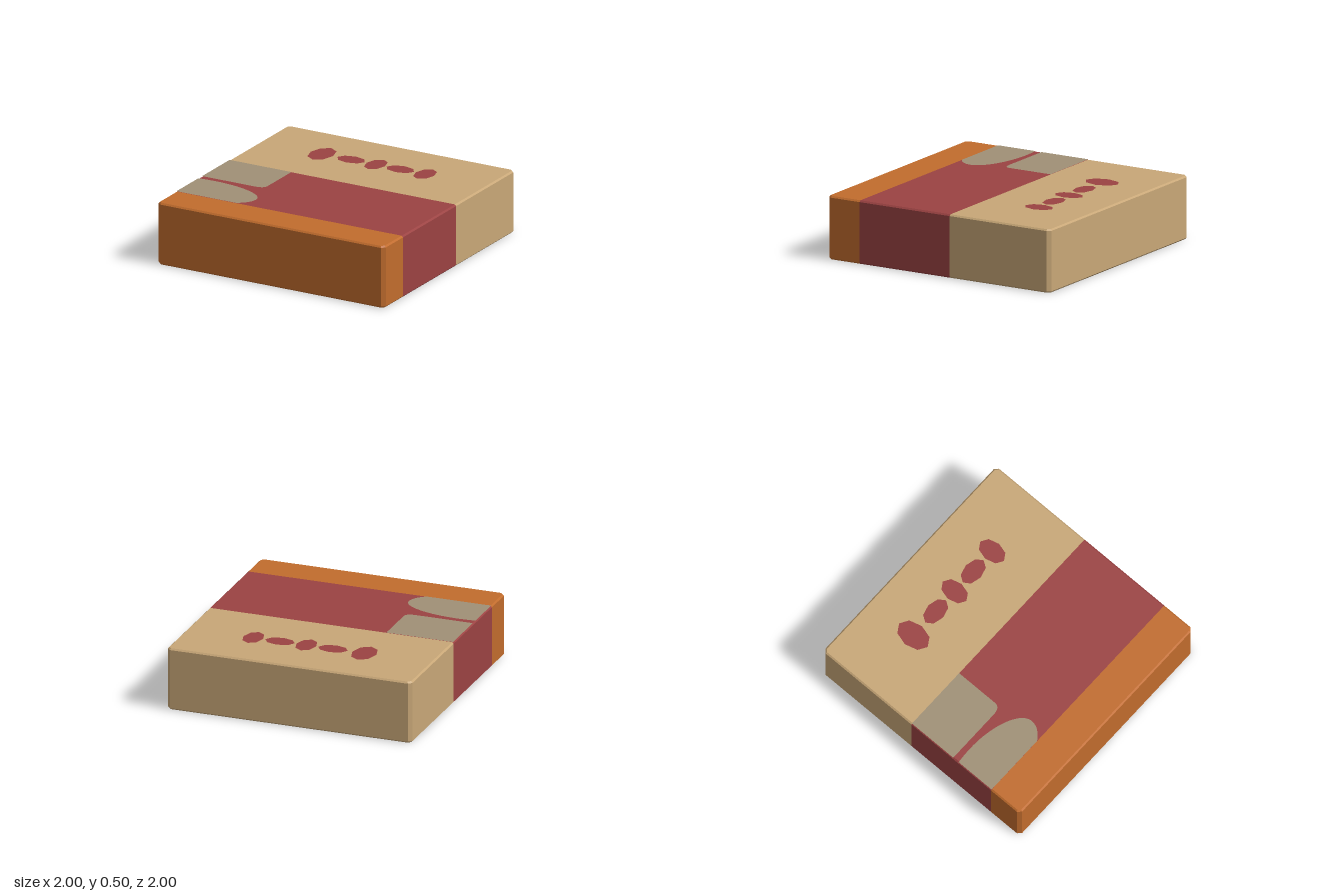
import * as THREE from 'three';

const H = 0.5, BEVEL = 0.012;
const TOP = H + 0.002;

const mat = (name, color) => new THREE.MeshStandardMaterial({ name, color });

// One chamfered cross-section; the top and bottom corners are inset from the sides
function ring(zSide, wSide, zFlat, wFlat) {
  const half = [[wFlat, H, zFlat], [wSide, H - BEVEL, zSide], [wSide, BEVEL, zSide], [wFlat, 0, zFlat]];
  return [...half, ...half.slice().reverse().map(([x, y, z]) => [-x, y, z])];
}
const straight = (z) => ring(z, 1, z, 1 - BEVEL);
const shoulder = (s) => ring(0.972 * s, 1, 0.967 * s, 1 - BEVEL);
const end = (s) => ring(s, 0.972, s * (1 - BEVEL), 0.967);

// Skins neighbouring sections and optionally closes one end
function band(name, material, rings, capRing, capSign) {
  const pos = [];
  const quad = (a, b, c, d) => [a, b, c, a, c, d].forEach((p) => pos.push(...p));
  for (let r = 0; r < rings.length - 1; r++) {
    for (let i = 0; i < 8; i++) {
      const j = (i + 1) % 8;
      quad(rings[r][i], rings[r + 1][i], rings[r + 1][j], rings[r][j]);
    }
  }
  if (capRing) {
    for (const ids of [[1, 2, 5, 6], [0, 1, 6, 7], [2, 3, 4, 5]]) {
      const q = ids.map((i) => capRing[i]);
      if (capSign > 0) q.reverse();
      quad(...q);
    }
  }
  const geo = new THREE.BufferGeometry();
  geo.setAttribute('position', new THREE.Float32BufferAttribute(pos, 3));
  geo.computeVertexNormals();
  const mesh = new THREE.Mesh(geo, material);
  mesh.name = name;
  return mesh;
}

// Flat inlay on the lid; shapes are drawn in (x, -z)
function inlay(name, material, shape) {
  const geo = new THREE.ShapeGeometry(shape, 24);
  geo.rotateX(-Math.PI / 2);
  geo.translate(0, TOP, 0);
  const mesh = new THREE.Mesh(geo, material);
  mesh.name = name;
  return mesh;
}

export function createModel() {
  const group = new THREE.Group();
  group.name = 'box';
  const tan = mat('tan', 0xc8a777);
  const red = mat('dark red', 0x9b4242);
  const orange = mat('burnt orange', 0xc16c2d);
  const grey = mat('warm grey', 0xa09076);

  // Body in three colour bands
  const back = end(-1), front = end(1);
  group.add(
    band('backBand', tan, [back, shoulder(-1), straight(-0.1)], back, -1),
    band('middleBand', red, [straight(-0.1), straight(0.71)]),
    band('frontBand', orange, [straight(0.71), shoulder(1), front], front, 1),
  );

  // Grey patch with one rounded corner
  const patch = new THREE.Shape();
  patch.moveTo(-0.995, 0.1);
  patch.lineTo(-0.45, 0.1);
  patch.lineTo(-0.45, -0.27);
  patch.quadraticCurveTo(-0.455, -0.32, -0.53, -0.32);
  patch.lineTo(-0.995, -0.32);
  group.add(inlay('squarePatch', grey, patch));

  // Grey rounded blob, cut off by the front band
  const blob = new THREE.Shape();
  blob.moveTo(-0.995, -0.71);
  blob.lineTo(-0.995, -0.375);
  blob.quadraticCurveTo(-0.92, -0.367, -0.85, -0.367);
  blob.bezierCurveTo(-0.6, -0.367, -0.375, -0.46, -0.375, -0.57);
  blob.quadraticCurveTo(-0.375, -0.65, -0.47, -0.71);
  group.add(inlay('roundPatch', grey, blob));

  // Row of eight-sided ovals: centre x, half width, half depth
  const ovals = [
    [-0.45, 0.098, 0.145], [-0.193, 0.12, 0.075], [0.025, 0.08, 0.12],
    [0.24, 0.12, 0.075], [0.458, 0.08, 0.12],
  ];
  for (const [x, rx, rz] of ovals) {
    const geo = new THREE.CircleGeometry(1, 8);
    geo.rotateX(-Math.PI / 2);
    const oval = new THREE.Mesh(geo, red);
    oval.name = 'oval';
    oval.scale.set(rx, 1, rz);
    oval.position.set(x, H + 0.004, -0.565);
    group.add(oval);
  }
  return group;
}
